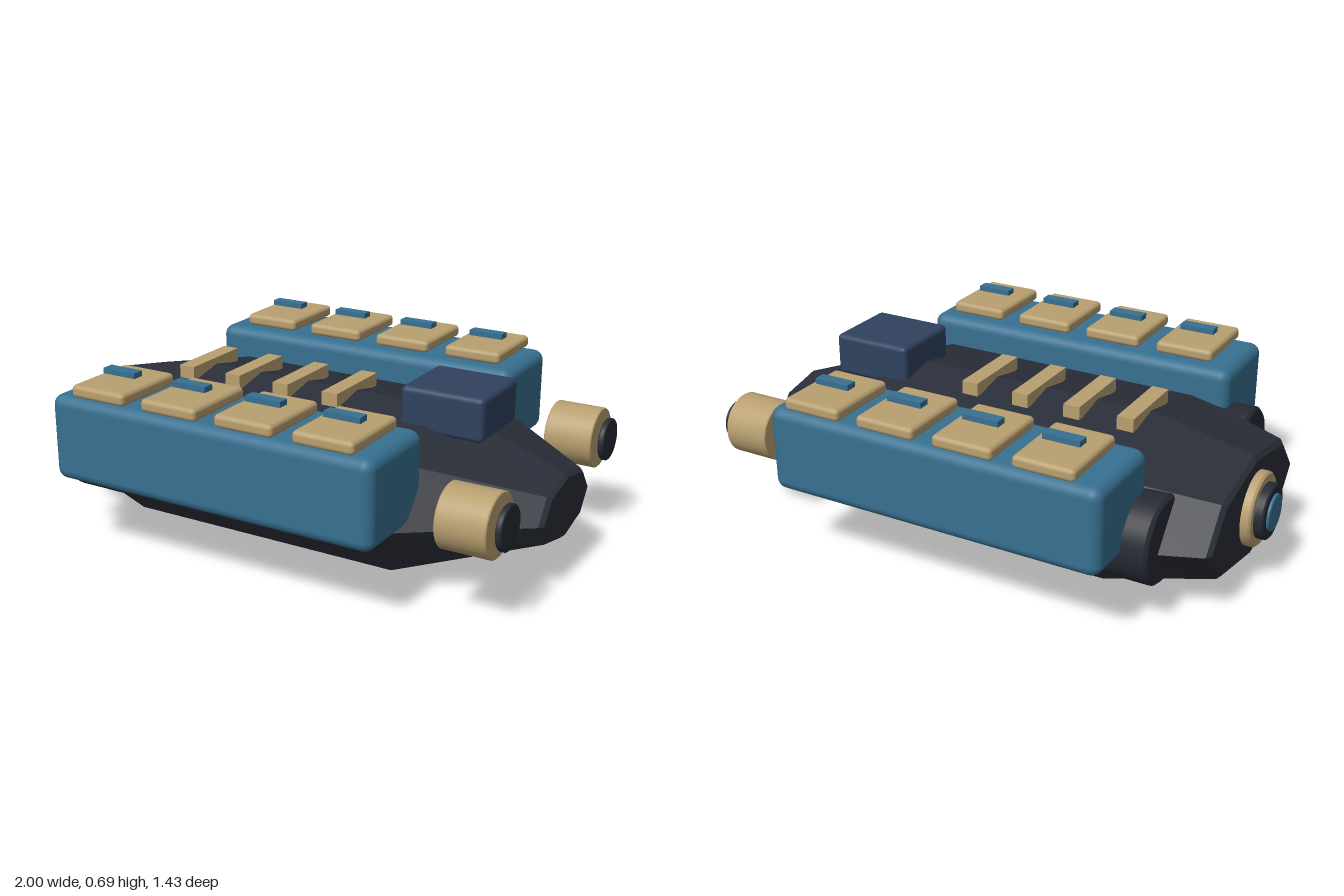
import * as THREE from 'three';
import { toCreasedNormals } from 'three/addons/utils/BufferGeometryUtils.js';
import { RoundedBoxGeometry } from 'three/addons/geometries/RoundedBoxGeometry.js';

const mat = (color, flatShading = false) => new THREE.MeshStandardMaterial({ color, flatShading });
const MAT = {
  hull: mat(0x2a2e38, true),
  dark: mat(0x262a33),
  teal: mat(0x377090),
  tan: mat(0xb89f70),
  navy: mat(0x30425f),
};

function add(parent, name, geometry, material, x = 0, y = 0, z = 0) {
  const mesh = new THREE.Mesh(geometry, material);
  mesh.name = name;
  mesh.position.set(x, y, z);
  parent.add(mesh);
  return mesh;
}

// Box with softened edges
const softBox = (w, h, d, r) => new RoundedBoxGeometry(w, h, d, 3, r);

// Bevelled disc or drum lying along x, from x0 to x1
function drum(x0, x1, r, bevel) {
  const profile = [
    [0, x0], [r - bevel, x0], [r, x0 + bevel], [r, x1 - bevel], [r - bevel, x1], [0, x1],
  ].map(([a, b]) => new THREE.Vector2(a, b));
  const g = new THREE.LatheGeometry(profile, 40).rotateZ(-Math.PI / 2);
  return toCreasedNormals(g, 0.6);
}

// Hull lofted along x from eight-sided sections [x, half width, half height]
function hullGeometry() {
  const cy = 0.28, sides = 8;
  const sections = [
    [-0.92, 0, 0], [-0.92, 0.385, 0.182], [-0.905, 0.405, 0.2], [-0.53, 0.55, 0.28],
    [0.53, 0.55, 0.28], [0.985, 0.222, 0.122], [1, 0.205, 0.108], [1, 0, 0],
  ];
  const positions = [], index = [];
  sections.forEach(([x, rz, ry], i) => {
    for (let j = 0; j < sides; j++) {
      const a = (j / sides) * Math.PI * 2;
      positions.push(x, cy + ry * Math.sin(a), rz * Math.cos(a));
      if (i === sections.length - 1) continue;
      const p = i * sides + j, q = i * sides + (j + 1) % sides;
      if (i > 0) index.push(p, p + sides, q);
      if (i < sections.length - 2) index.push(p + sides, q + sides, q);
      else continue;
    }
  });
  const g = new THREE.BufferGeometry();
  g.setAttribute('position', new THREE.Float32BufferAttribute(positions, 3));
  g.setIndex(index);
  g.computeVertexNormals();
  return g;
}

export function createModel() {
  const model = new THREE.Group();
  model.name = 'vehicle';

  add(model, 'hull', hullGeometry(), MAT.hull);
  add(model, 'cabin', softBox(0.315, 0.16, 0.296, 0.02), MAT.navy, 0.582, 0.58, 0);

  // Raised bars across the deck
  for (let i = 0; i < 4; i++) {
    add(model, 'deckBar', new THREE.BoxGeometry(0.064, 0.05, 0.296), MAT.tan, -0.484 + i * 0.209, 0.56, 0);
  }

  // Mirrored side pods with hatches, nozzles and rear drums
  for (const s of [1, -1]) {
    const side = new THREE.Group();
    side.name = s > 0 ? 'frontSide' : 'backSide';
    model.add(side);

    add(side, 'pod', softBox(1.288, 0.318, 0.365, 0.04), MAT.teal, -0.022, 0.443, s * 0.532);
    for (let i = 0; i < 4; i++) {
      const x = -0.46 + i * 0.3;
      add(side, 'hatch', softBox(0.226, 0.046, 0.3, 0.016), MAT.tan, x, 0.627, s * 0.555);
      add(side, 'hatchHandle', new THREE.BoxGeometry(0.136, 0.02, 0.045), MAT.teal, x, 0.676, s * 0.556);
    }
    add(side, 'nozzle', drum(0.77, 0.95, 0.113, 0.004), MAT.tan, 0, 0.373, s * 0.463);
    add(side, 'nozzleCap', drum(0.965, 0.987, 0.079, 0.004), MAT.dark, 0, 0.373, s * 0.463);
    add(side, 'rearDrum', drum(-0.76, -0.53, 0.157, 0.012), MAT.dark, 0, 0.302, s * 0.397);
  }

  // Rear port of stacked discs
  add(model, 'portRing', drum(-0.956, -0.91, 0.137, 0.008), MAT.tan, 0, 0.28, 0);
  add(model, 'portCollar', drum(-0.99, -0.95, 0.102, 0.006), MAT.dark, 0, 0.28, 0);
  add(model, 'portLens', drum(-1, -0.98, 0.068, 0.003), MAT.teal, 0, 0.28, 0);

  return model;
}
